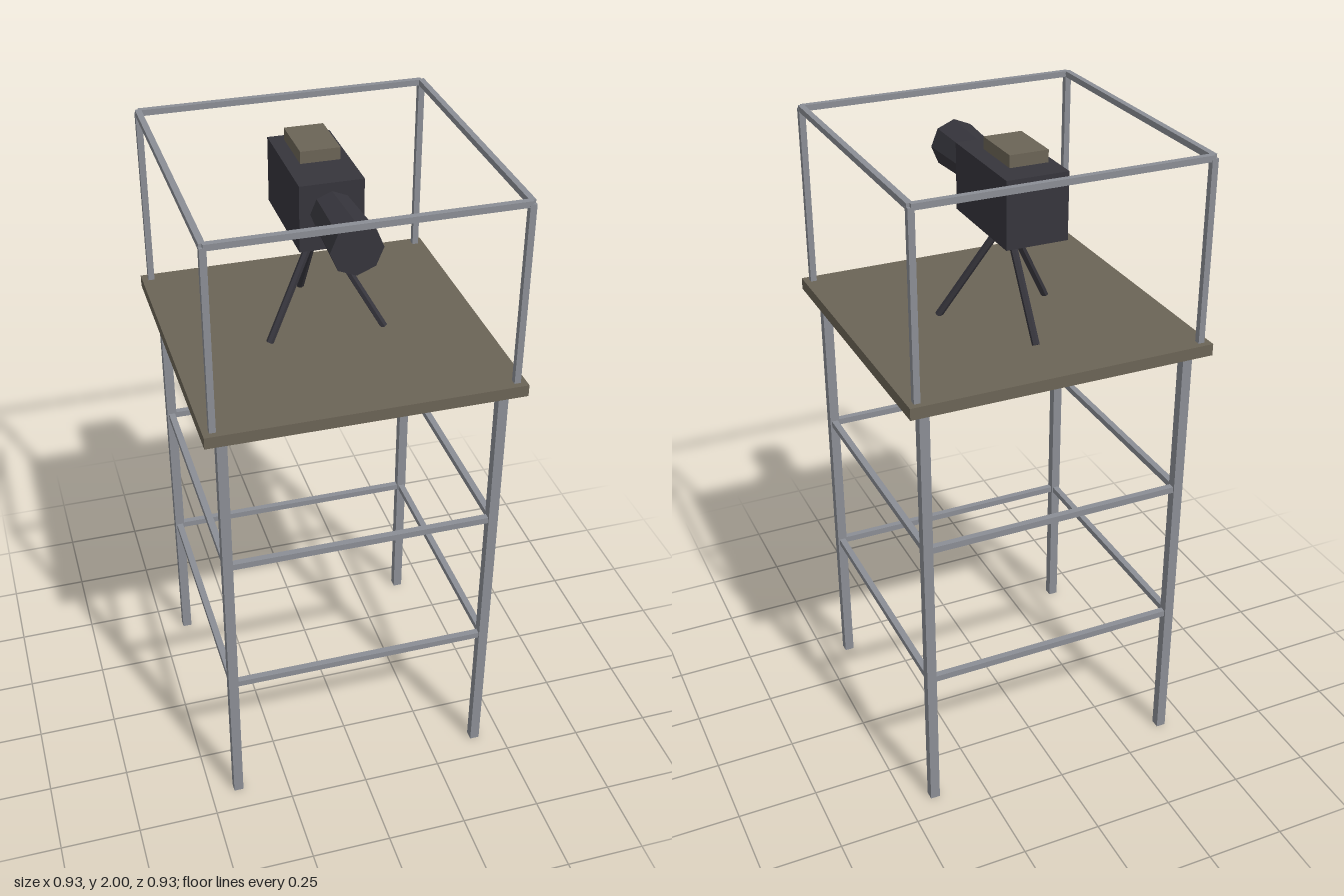
import * as THREE from 'three';

export function createModel() {
  const model = new THREE.Group();
  model.name = 'cameraTower';

  const material = (name, color) => {
    const m = new THREE.MeshStandardMaterial({ color });
    m.name = name;
    m.flatShading = true;
    return m;
  };
  const steel = material('grey steel', 0x8b8e95);
  const wood = material('brown board', 0x6b6456);
  const dark = material('dark camera body', 0x36353c);

  const add = (parent, name, geometry, mat, x, y, z) => {
    const mesh = new THREE.Mesh(geometry, mat);
    mesh.name = name;
    mesh.position.set(x, y, z);
    parent.add(mesh);
    return mesh;
  };
  const box = (parent, name, mat, w, h, d, x, y, z) =>
    add(parent, name, new THREE.BoxGeometry(w, h, d), mat, x, y, z);

  // Square ring of four horizontal bars
  const barRing = (parent, name, y, half, length, t) => {
    for (const s of [-1, 1]) {
      box(parent, name, steel, length, t, t, 0, y, s * half);
      box(parent, name, steel, t, t, length, s * half, y, 0);
    }
  };

  // Scaffold: four legs and two levels of braces
  const scaffold = new THREE.Group();
  scaffold.name = 'scaffold';
  model.add(scaffold);
  for (const x of [-1, 1]) for (const z of [-1, 1])
    box(scaffold, 'towerLeg', steel, 0.03, 1.41, 0.03, x * 0.41, 0.705, z * 0.41);
  for (const y of [0.47, 0.938]) barRing(scaffold, 'brace', y, 0.41, 0.82, 0.02);

  // Platform
  box(model, 'platform', wood, 0.932, 0.036, 0.932, 0, 1.422, 0);

  // Guard rail: corner posts and top bars
  const guard = new THREE.Group();
  guard.name = 'guardRail';
  model.add(guard);
  for (const x of [-1, 1]) for (const z of [-1, 1])
    box(guard, 'railPost', steel, 0.019, 0.55, 0.019, x * 0.438, 1.715, z * 0.438);
  barRing(guard, 'topRail', 1.991, 0.438, 0.876, 0.018);

  // Camera body, lens hood and top box
  const camera = new THREE.Group();
  camera.name = 'camera';
  model.add(camera);
  box(camera, 'cameraBody', dark, 0.188, 0.2, 0.347, 0, 1.846, -0.0885);
  const lens = new THREE.CylinderGeometry(0.0755, 0.062, 0.25, 8);
  lens.rotateX(Math.PI / 2);
  add(camera, 'lensHood', lens, dark, 0, 1.858, 0.196);
  box(camera, 'topBox', wood, 0.117, 0.036, 0.175, 0, 1.976, -0.1175);

  // Tripod: three legs spread evenly below the body
  const tripod = new THREE.Group();
  tripod.name = 'tripod';
  model.add(tripod);
  const top = new THREE.Vector3(0, 1.755, -0.06);
  for (let i = 0; i < 3; i++) {
    const a = Math.PI + (i * 2 * Math.PI) / 3;
    const foot = new THREE.Vector3(Math.sin(a) * 0.203, 1.44, -0.06 + Math.cos(a) * 0.203);
    const dir = top.clone().sub(foot);
    const mid = top.clone().add(foot).multiplyScalar(0.5);
    const leg = add(tripod, 'tripodLeg',
      new THREE.CylinderGeometry(0.0115, 0.0115, dir.length(), 6), dark, mid.x, mid.y, mid.z);
    leg.quaternion.setFromUnitVectors(new THREE.Vector3(0, 1, 0), dir.normalize());
  }

  return model;
}
